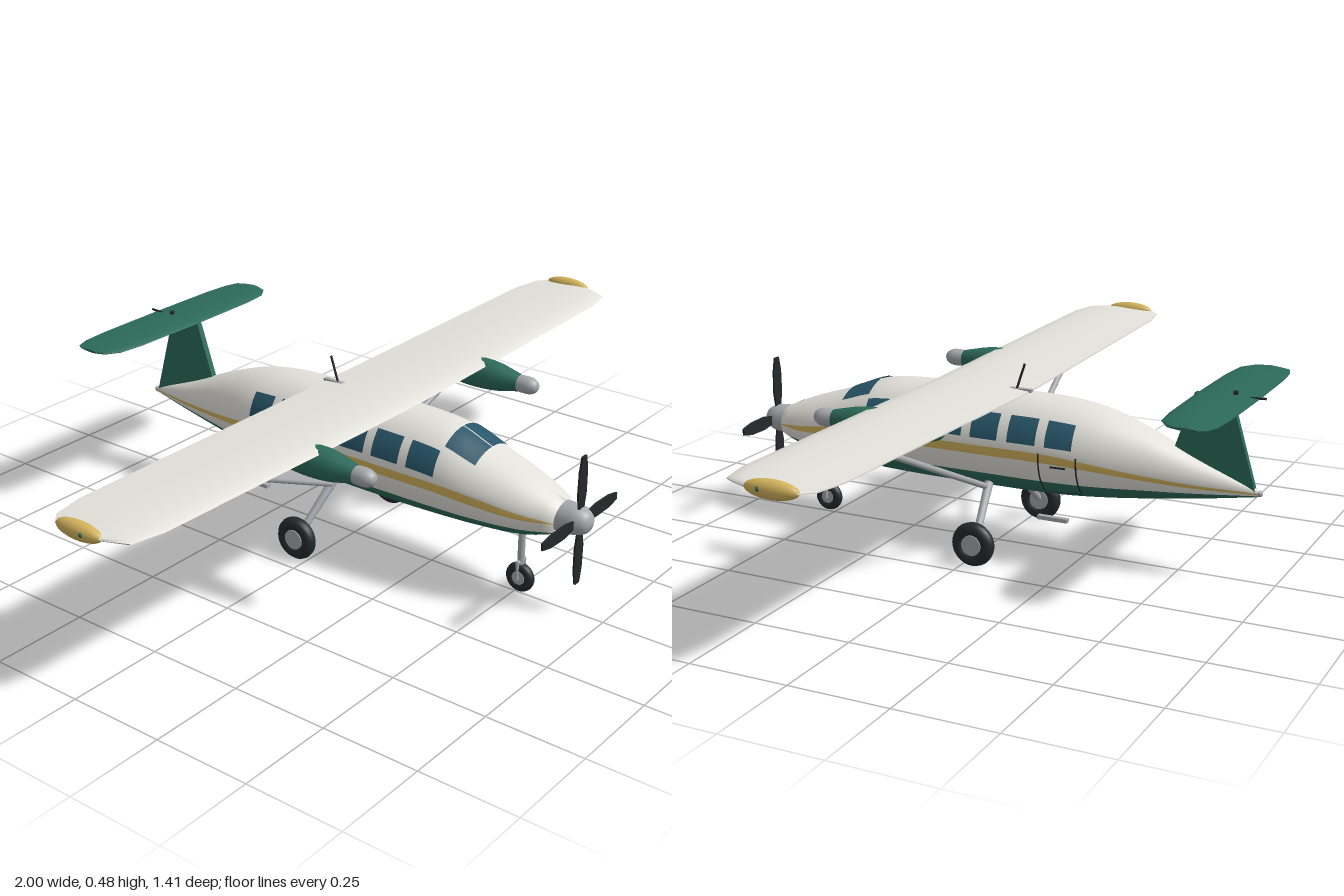
import * as THREE from 'three';
import { toCreasedNormals } from 'three/addons/utils/BufferGeometryUtils.js';

const mat = (name, color, side = THREE.FrontSide) => {
  const m = new THREE.MeshStandardMaterial({ color, side });
  m.name = name;
  return m;
};

// Fuselage stations: -z, half width, bottom, top, stripe top, stripe bottom, belly line
const STATIONS = [
  [-0.63, 0.052, 0.205, 0.288, 0.247, 0.245, 0.215],
  [-0.55, 0.085, 0.180, 0.322, 0.260, 0.246, 0.215],
  [-0.42, 0.111, 0.166, 0.365, 0.280, 0.258, 0.214],
  [-0.33, 0.119, 0.160, 0.398, 0.288, 0.265, 0.213],
  [-0.22, 0.122, 0.156, 0.409, 0.289, 0.266, 0.213],
  [0.00, 0.122, 0.155, 0.408, 0.289, 0.266, 0.213],
  [0.20, 0.121, 0.158, 0.405, 0.288, 0.266, 0.213],
  [0.30, 0.108, 0.165, 0.390, 0.276, 0.258, 0.213],
  [0.42, 0.077, 0.178, 0.350, 0.256, 0.243, 0.214],
  [0.54, 0.045, 0.194, 0.297, 0.240, 0.231, 0.216],
  [0.70, 0.006, 0.220, 0.236, 0.229, 0.226, 0.223],
];
const hull = new THREE.CubicInterpolant(
  STATIONS.map((s) => s[0]), STATIONS.flatMap((s) => s.slice(1)), 6);
const section = (z) => {
  const [w, lo, hi, ...lines] = hull.evaluate(-z);
  const cy = (lo + hi) / 2, h = (hi - lo) / 2;
  const angles = lines.map((y) => Math.asin(Math.max(-1, Math.min(1, (y - cy) / h))));
  return { w, cy, h, angles };
};
const hullPoint = (z, t, out = 0) => {
  const { w, cy, h } = section(z);
  return [(w + out) * Math.cos(t), cy + (h + out) * Math.sin(t), z];
};

// Skins rows of points; strips run along the rows so each can carry its own material
function loft(rows, { closed = true, caps = false, strips = null } = {}) {
  const n = rows[0].length, g = new THREE.BufferGeometry(), index = [];
  for (let j = 0; j < (closed ? n : n - 1); j++) {
    const start = index.length, k = (j + 1) % n;
    for (let i = 0; i < rows.length - 1; i++) {
      const a = i * n + j, b = i * n + k;
      index.push(a, b, a + n, b, b + n, a + n);
    }
    if (strips) g.addGroup(start, index.length - start, strips[j]);
  }
  if (caps) {
    const e = (rows.length - 1) * n;
    for (let j = 1; j < n - 1; j++) index.push(0, j + 1, j, e, e + j, e + j + 1);
  }
  g.setAttribute('position', new THREE.Float32BufferAttribute(rows.flat(2), 3));
  g.setIndex(index);
  g.computeVertexNormals();
  return g;
}

function fuselageGeometry() {
  const rows = [], counts = [12, 1, 2, 8], kinds = [0, 1, 0, 2];
  const half = counts.flatMap((c, k) => Array(c).fill(kinds[k]));
  for (let i = 0; i <= 48; i++) {
    const z = 0.63 - 1.33 * i / 48;
    const stops = [Math.PI / 2, ...section(z).angles, -Math.PI / 2];
    const ts = [];
    counts.forEach((c, k) => {
      for (let j = 0; j < c; j++) ts.push(stops[k] + (stops[k + 1] - stops[k]) * j / c);
    });
    ts.push(-Math.PI / 2, ...ts.slice(1).reverse().map((t) => Math.PI - t));
    rows.push(ts.map((t) => hullPoint(z, t)));
  }
  return loft(rows, { caps: true, strips: [...half, ...half.slice().reverse()] });
}

// Thin panel hugging the hull; side -1 mirrors it
function panel(z0, z1, tHi, tLo, side, out = 0.003) {
  if (side < 0) [tHi, tLo] = [Math.PI - tLo, Math.PI - tHi];
  const rows = [];
  for (let i = 0; i <= 6; i++) {
    const row = [];
    for (let j = 0; j <= 8; j++) {
      row.push(hullPoint(z0 + (z1 - z0) * i / 6, tHi + (tLo - tHi) * j / 8, out));
    }
    rows.push(row);
  }
  return loft(rows, { closed: false });
}

// Aerofoil surface from half-span stations: x, leading z, trailing z, height, thickness
function aerofoil(stations) {
  const mirrored = stations.filter((s) => s[0] > 0).reverse().map(([x, ...r]) => [-x, ...r]);
  const foil = [[1, 0.06], [0.7, 0.3], [0.4, 0.5], [0.15, 0.4], [0.04, 0.22], [0, 0],
    [0.04, -0.2], [0.15, -0.35], [0.4, -0.42], [0.7, -0.25], [1, -0.06]];
  const rows = [...mirrored, ...stations].map(([x, le, te, y, th]) =>
    foil.map(([u, v]) => [x, y + v * th, le + (te - le) * u]));
  return toCreasedNormals(loft(rows, { caps: true }), 0.8);
}

export function createModel() {
  const model = new THREE.Group();
  model.name = 'aeroplane';
  const white = mat('white paint', 0xe2e1da), green = mat('green paint', 0x2c6a59);
  const gold = mat('gold paint', 0xd2b25c), glass = mat('window glass', 0x28566a, THREE.DoubleSide);
  const dark = mat('dark trim', 0x25292b, THREE.DoubleSide), metal = mat('grey metal', 0xa6a8ac);

  const add = (name, geometry, material, x = 0, y = 0, z = 0) => {
    const m = new THREE.Mesh(geometry, material);
    m.name = name;
    m.position.set(x, y, z);
    model.add(m);
    return m;
  };
  const rod = (name, a, b, r, material, r2 = r) => {
    const from = new THREE.Vector3(...a), dir = new THREE.Vector3(...b).sub(from);
    const m = add(name, new THREE.CylinderGeometry(r2, r, dir.length(), 14), material);
    m.position.copy(from).addScaledVector(dir, 0.5);
    m.quaternion.setFromUnitVectors(new THREE.Vector3(0, 1, 0), dir.normalize());
  };
  const lathe = (pts) => new THREE.LatheGeometry(
    new THREE.SplineCurve(pts.map((p) => new THREE.Vector2(...p))).getPoints(24)
      .map((p) => p.setX(Math.max(0, p.x))), 24).rotateX(Math.PI / 2);
  const wheel = (name, x, y, z, R, r) => {
    add(name + 'Tyre', new THREE.TorusGeometry(R, r, 14, 32).rotateY(Math.PI / 2), dark, x, y, z);
    add(name + 'Hub', new THREE.CylinderGeometry(R * 0.68, R * 0.68, r * 1.7, 20).rotateZ(Math.PI / 2), metal, x, y, z);
  };

  add('fuselage', fuselageGeometry(), [white, gold, green]);

  // Wing and tail
  add('wing', aerofoil([
    [0, 0.185, -0.09, 0.409, 0.03], [0.2, 0.185, -0.087, 0.411, 0.03], [0.87, 0.18, -0.078, 0.42, 0.026],
    [0.955, 0.162, -0.062, 0.421, 0.022], [0.985, 0.1, -0.035, 0.422, 0.014],
  ]), white);
  add('tailplane', aerofoil([
    [0, -0.535, -0.688, 0.461, 0.016], [0.2, -0.538, -0.686, 0.461, 0.016], [0.275, -0.546, -0.68, 0.461, 0.014],
    [0.31, -0.57, -0.668, 0.461, 0.012], [0.32, -0.595, -0.65, 0.461, 0.008],
  ]), green);
  const fin = new THREE.Shape([[0.47, 0.28], [0.56, 0.235], [0.692, 0.226], [0.622, 0.462], [0.53, 0.462]]
    .map((p) => new THREE.Vector2(...p)));
  add('fin', new THREE.ExtrudeGeometry(fin, { depth: 0.016, bevelEnabled: false })
    .translate(0, 0, -0.008).rotateY(Math.PI / 2), green);
  add('tailLight', new THREE.SphereGeometry(0.008, 12, 8), metal, 0, 0.228, -0.7);
  rod('tailBeacon', [0, 0.46, -0.63], [0, 0.475, -0.63], 0.006, dark);
  rod('tailMast', [0, 0.462, -0.665], [0, 0.464, -0.705], 0.003, dark);

  // Roof aerial
  add('aerialBase', new THREE.BoxGeometry(0.012, 0.012, 0.06), metal, 0, 0.41, -0.065);
  rod('aerial', [0, 0.41, -0.052], [0, 0.48, -0.075], 0.003, dark);

  // Propeller
  const spinner = lathe([[0.04, 0.615], [0.039, 0.64], [0.036, 0.67], [0.024, 0.695], [0, 0.706]]);
  add('spinner', spinner, metal, 0, 0.248, 0);
  const blade = new THREE.Shape([[-0.009, 0.02], [0.009, 0.02], [0.018, 0.07], [0.017, 0.13], [0.009, 0.168],
    [-0.009, 0.168], [-0.017, 0.13], [-0.018, 0.07]].map((p) => new THREE.Vector2(...p)));
  for (let i = 0; i < 4; i++) {
    add('propellerBlade', new THREE.ExtrudeGeometry(blade, { depth: 0.005, bevelEnabled: false }),
      dark, 0, 0.248, 0.669).rotation.z = i * Math.PI / 2;
  }

  // Nose gear
  rod('noseGearLeg', [0, 0.2, 0.515], [0, 0.06, 0.515], 0.009, metal);
  for (const s of [-1, 1]) rod('noseGearFork', [s * 0.016, 0.09, 0.515], [s * 0.016, 0.042, 0.515], 0.004, metal);
  rod('noseGearCrown', [-0.018, 0.088, 0.515], [0.018, 0.088, 0.515], 0.005, metal);
  wheel('nose', 0, 0.044, 0.515, 0.026, 0.013);

  const windows = [[0.33, 0.25], [0.225, 0.145], [0.12, 0.045], [0.02, -0.055], [-0.083, -0.16], [-0.185, -0.255]];
  for (const s of [-1, 1]) {
    // Glazing
    add('windscreen', panel(0.42, 0.335, Math.PI / 2 - 0.015, 0.88, s), glass);
    for (const [a, b] of windows) add('sideWindow', panel(a, b, 0.76, 0.21, s), glass);

    // Door outline, handle and step
    add('doorFrontSeam', panel(-0.169, -0.173, 0.08, -0.93, s), dark);
    add('doorRearSeam', panel(-0.266, -0.27, 0.08, -0.93, s), dark);
    add('doorSill', panel(-0.169, -0.27, -0.9, -0.93, s), dark);
    add('doorHandle', panel(-0.203, -0.243, -0.14, -0.18, s, 0.006), dark);
    add('doorStep', new THREE.BoxGeometry(0.014, 0.01, 0.08), metal, s * 0.135, 0.133, -0.218);

    // Wing struts and main gear
    rod('wingStrut', [s * 0.075, 0.167, -0.01], [s * 0.6, 0.411, 0.045], 0.008, metal);
    rod('mainGearLeg', [s * 0.06, 0.19, -0.008], [s * 0.19, 0.06, -0.03], 0.012, metal, 0.009);
    wheel('main', s * 0.2, 0.057, -0.03, 0.039, 0.018);

    // Underwing pods and wingtip pods
    add('enginePod', lathe([[0, -0.03], [0.018, -0.015], [0.034, 0.05], [0.041, 0.13], [0.038, 0.2],
      [0.028, 0.25], [0.02, 0.285]]), green, s * 0.345, 0.382, 0);
    add('podNose', lathe([[0.021, 0.265], [0.023, 0.285], [0.022, 0.31], [0.013, 0.326], [0, 0.331]]),
      metal, s * 0.345, 0.382, 0);
    add('wingtipPod', new THREE.SphereGeometry(1, 24, 16).scale(0.02, 0.022, 0.068), gold, s * 0.979, 0.422, 0.032);
    add('wingtipLight', new THREE.SphereGeometry(0.007, 12, 8), green, s * 0.993, 0.424, 0.055);
  }
  return model;
}
